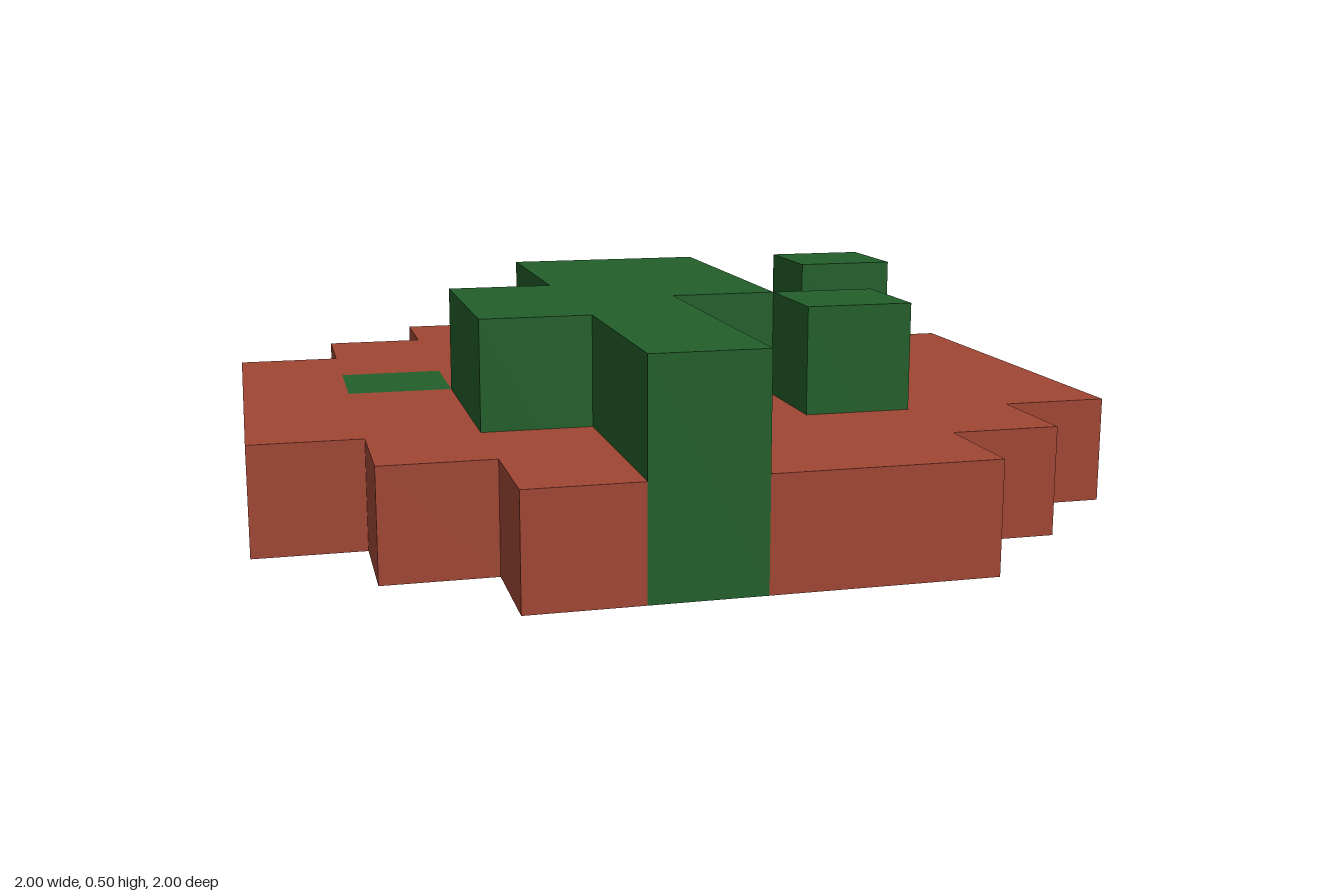
import * as THREE from 'three';

const U = 0.25; // one block; outlines below are in block units, as x, z pairs

const red = new THREE.MeshStandardMaterial({ name: 'brickRed', color: 0xa04634 });
const green = new THREE.MeshStandardMaterial({ name: 'leafGreen', color: 0x225f2a });

const toPoints = (outline) => outline.map(([x, z]) => new THREE.Vector2(x * U, z * U));
const square = (x, z) => [[x, z], [x + 1, z], [x + 1, z + 1], [x, z + 1]];

// Upright prism standing on the ground, from a plan outline
function prism(name, outline, blocksHigh, material, holes = []) {
  const shape = new THREE.Shape(toPoints(outline));
  holes.forEach((hole) => shape.holes.push(new THREE.Path(toPoints(hole))));
  const geometry = new THREE.ExtrudeGeometry(shape, { depth: blocksHigh * U, bevelEnabled: false });
  geometry.rotateX(Math.PI / 2).translate(0, blocksHigh * U, 0);
  const mesh = new THREE.Mesh(geometry, material);
  mesh.name = name;
  return mesh;
}

export function createModel() {
  const model = new THREE.Group();
  model.name = 'steppedDisc';

  // Stepped round plate in three pieces, cut out around the green columns
  const plate = new THREE.Group();
  plate.name = 'plate';
  plate.add(
    prism('plateBack', [
      [-4, 0], [-4, -2], [-3, -2], [-3, -3], [-2, -3], [-2, -4],
      [2, -4], [2, -3], [3, -3], [3, -2], [4, -2], [4, 1], [1, 1],
      [1, -2], [-1, -2], [-1, 0], [-2, 0], [-2, -1], [-3, -1], [-3, 0],
    ], 1, red, [square(2, -2)]),
    prism('plateFrontRight', [
      [-4, 0], [-2, 0], [-2, 2], [-1, 2], [-1, 4], [-2, 4],
      [-2, 3], [-3, 3], [-3, 2], [-4, 2],
    ], 1, red),
    prism('plateFrontLeft', [
      [0, 1], [1, 1], [1, 2], [2, 2], [2, 1], [4, 1], [4, 2],
      [3, 2], [3, 3], [2, 3], [2, 4], [0, 4],
    ], 1, red),
  );
  model.add(plate);

  // Raised centre with a stem running to the front edge
  model.add(prism('raisedCentre', [
    [-1, -2], [1, -2], [1, 1], [0, 1], [0, 4], [-1, 4], [-1, 2], [-2, 2], [-2, 0], [-1, 0],
  ], 2, green));

  // Single green columns: two raised, one flush with the plate
  model.add(
    prism('backColumn', square(2, -2), 2, green),
    prism('frontColumn', square(1, 1), 2, green),
    prism('flushColumn', square(-3, -1), 1, green),
  );

  return model;
}
